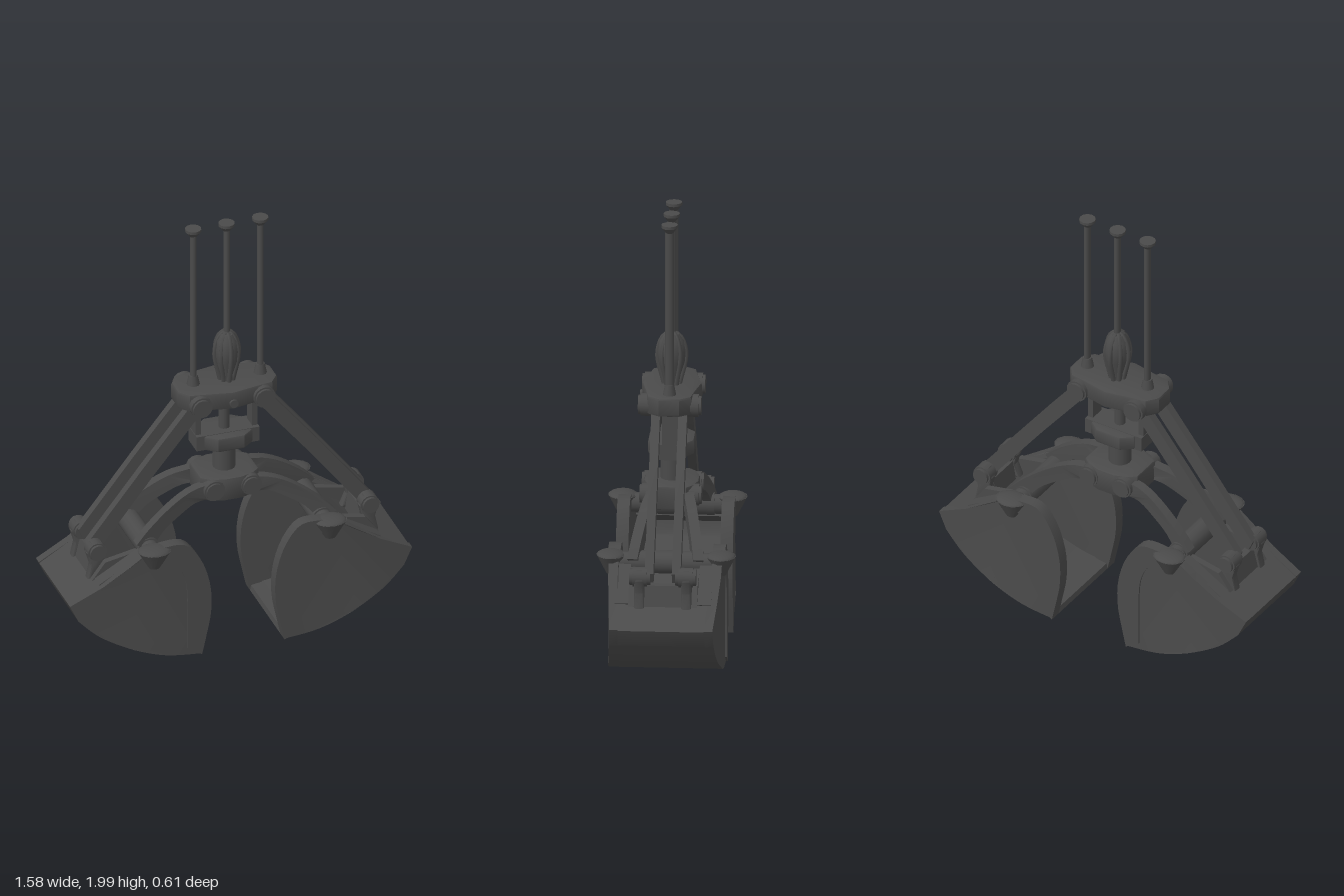
import * as THREE from 'three';
import { toCreasedNormals } from 'three/addons/utils/BufferGeometryUtils.js';

const steel = new THREE.MeshStandardMaterial({ color: 0x4a4a4a });
steel.name = 'dark steel';

function add(parent, name, geo, x = 0, y = 0, z = 0) {
  const m = new THREE.Mesh(geo, steel);
  m.name = name;
  m.position.set(x, y, z);
  parent.add(m);
  return m;
}

const vecs = pts => pts.map(p => new THREE.Vector2(p[0], p[1]));
const smooth = (pts, n = 20) => new THREE.SplineCurve(vecs(pts)).getPoints(n).map(p => [p.x, p.y]);

// XY outline extruded from z0 to z1; rule may move each vertex
function plateGeo(pts, z0, z1, rule, bevel = 0) {
  const g = new THREE.ExtrudeGeometry(new THREE.Shape(vecs(pts)), {
    depth: z1 - z0 - 2 * bevel, bevelEnabled: bevel > 0, bevelSize: bevel,
    bevelThickness: bevel, bevelOffset: -bevel, bevelSegments: 2,
  });
  g.translate(0, 0, z0 + bevel);
  if (rule) {
    const p = g.attributes.position;
    for (let i = 0; i < p.count; i++) p.setZ(i, rule(p.getX(i), p.getZ(i)));
  }
  return toCreasedNormals(g, 0.6);
}

// The same plate on the +z and -z side
function pair(parent, name, pts, z0, z1, rule, bevel) {
  add(parent, name, plateGeo(pts, z0, z1, rule, bevel));
  add(parent, name, plateGeo(pts, -z1, -z0, rule, bevel));
}

function pin(parent, name, r, x, y, z, length) {
  const g = new THREE.CylinderGeometry(r * 0.85, r * 0.85, length, 14);
  add(parent, name, g, x, y, z).rotation.x = Math.PI / 2;
  add(parent, name + 'Collar', new THREE.CylinderGeometry(r, r, length * 0.7, 14), x, y, z).rotation.x = Math.PI / 2;
}

// Horizontal slab from an XZ outline
function slab(parent, name, pts, y0, y1) {
  const g = plateGeo(pts, 0, y1 - y0, null, 0.01);
  g.rotateX(-Math.PI / 2);
  return add(parent, name, g, 0, y0, 0);
}

// One half of the grab, on the +x side
function makeHalf() {
  const half = new THREE.Group();
  half.name = 'grabHalf';
  const taper = (x, z) => z * (1 - 0.09 * Math.max(0, (x - 0.5) / 0.29));

  // Bucket outlines
  const outer = smooth([[0.19, 0.01], [0.35, 0.03], [0.5, 0.085], [0.65, 0.17], [0.75, 0.265]]);
  const inner = smooth([[0.72, 0.28], [0.63, 0.205], [0.49, 0.115], [0.34, 0.06], [0.195, 0.035]]);
  const mouth = smooth([[0.43, 0.565], [0.33, 0.58], [0.255, 0.565], [0.19, 0.475], [0.152, 0.35], [0.148, 0.22], [0.17, 0.1], [0.19, 0.01]]);
  const rim = smooth([[0.255, 0.05], [0.255, 0.25], [0.265, 0.39], [0.31, 0.48], [0.38, 0.52]]);

  add(half, 'bucketShell', plateGeo(
    [...outer, [0.785, 0.34], [0.63, 0.425], [0.61, 0.4], [0.735, 0.335], ...inner], -0.245, 0.245, taper));
  pair(half, 'bucketSide',
    [...outer.slice(1), [0.788, 0.345], [0.64, 0.42], [0.52, 0.5], ...mouth], 0.205, 0.247, taper);
  pair(half, 'bucketRim', [...mouth, ...rim], 0.2, 0.255);

  // Cross tube and flared pivot ears
  pin(half, 'crossTube', 0.05, 0.4, 0.53, 0, 0.46);
  for (const s of [-1, 1]) {
    const ear = new THREE.CylinderGeometry(0.075, 0.025, 0.085, 14);
    add(half, 'pivotEar', ear, 0.405, 0.522, s * 0.24).scale.z = 0.85;
    add(half, 'pivotCap', new THREE.SphereGeometry(0.073, 14, 6, 0, Math.PI * 2, 0, Math.PI / 2),
      0.405, 0.562, s * 0.24).scale.set(1, 0.25, 0.85);
  }

  // Stay lugs at the bucket's outer edge
  const lug = [[0.57, 0.42], [0.67, 0.4], [0.655, 0.47], [0.672, 0.53], [0.65, 0.575], [0.605, 0.575], [0.583, 0.53], [0.595, 0.48]];
  pair(half, 'stayLug', lug, 0.08, 0.125, null, 0.01);
  add(half, 'lugBridge', plateGeo([[0.585, 0.41], [0.66, 0.4], [0.635, 0.5], [0.6, 0.5]], -0.08, 0.08));
  pair(half, 'lugGusset', [[0.45, 0.52], [0.6, 0.49], [0.66, 0.41], [0.6, 0.42], [0.46, 0.49]], 0.12, 0.15);
  pair(half, 'topFlange', [[0.45, 0.535], [0.65, 0.42], [0.63, 0.4], [0.45, 0.505]], 0.15, 0.21);
  for (const s of [-1, 1]) pin(half, 'lowerStayPin', 0.043, 0.628, 0.538, s * 0.1, 0.09);

  // Long upper stays
  pair(half, 'stay', [[0.115, 1.17], [0.185, 1.15], [0.4, 0.885], [0.655, 0.56], [0.635, 0.515], [0.595, 0.53], [0.345, 0.85], [0.125, 1.12]], 0.04, 0.078);
  for (const s of [-1, 1]) pin(half, 'upperStayPin', 0.05, 0.145, 1.165, s * 0.1, 0.075);

  // Curved lower arms, splaying outward toward the bucket
  const arm = [
    ...smooth([[0.09, 0.765], [0.2, 0.745], [0.3, 0.695], [0.4, 0.62], [0.46, 0.56]], 12),
    ...smooth([[0.39, 0.51], [0.33, 0.59], [0.25, 0.645], [0.17, 0.685], [0.09, 0.69]], 12),
  ];
  pair(half, 'lowerArm', arm, 0.06, 0.105, (x, z) => z + Math.sign(z) * 0.2 * Math.max(0, x - 0.15));
  for (const s of [-1, 1]) pin(half, 'lowerArmPin', 0.048, 0.085, 0.735, s * 0.1, 0.07);

  // Hanger strap between head and crosspiece
  add(half, 'hangerStrap', new THREE.BoxGeometry(0.025, 0.24, 0.07), 0.13, 1.03, 0);
  return half;
}

export function createModel() {
  const model = new THREE.Group();
  model.name = 'clamshellGrab';

  // Two opposed halves
  for (const a of [0, Math.PI]) {
    const h = makeHalf();
    h.rotation.y = a;
    model.add(h);
  }

  // Head block
  slab(model, 'head', [[-0.228, -0.045], [-0.19, -0.095], [-0.1, -0.11], [0, -0.13], [0.1, -0.11], [0.19, -0.095], [0.228, -0.045],
    [0.228, 0.045], [0.19, 0.095], [0.1, 0.11], [0, 0.13], [-0.1, 0.11], [-0.19, 0.095], [-0.228, 0.045]], 1.135, 1.22);
  add(model, 'headBolt', new THREE.CylinderGeometry(0.02, 0.02, 0.02, 10), 0, 1.165, 0.128).rotation.x = Math.PI / 2;

  // Centre column, crosspiece and lower hub
  add(model, 'crosspiece', new THREE.BoxGeometry(0.29, 0.07, 0.11), 0, 0.945, 0);
  slab(model, 'crosspieceCollar', [[-0.11, -0.06], [-0.06, -0.1], [0.06, -0.1], [0.11, -0.06],
    [0.11, 0.06], [0.06, 0.1], [-0.06, 0.1], [-0.11, 0.06]], 0.91, 0.978);
  add(model, 'upperSpindle', new THREE.CylinderGeometry(0.024, 0.024, 0.17, 12), 0, 1.06, 0);
  add(model, 'spindleCollar', new THREE.CylinderGeometry(0.04, 0.028, 0.04, 12), 0, 1.11, 0);
  add(model, 'lowerColumn', new THREE.CylinderGeometry(0.05, 0.05, 0.17, 16), 0, 0.845, 0);
  slab(model, 'lowerHub', [[-0.135, -0.07], [-0.1, -0.1], [-0.04, -0.12], [0.04, -0.12], [0.1, -0.1], [0.135, -0.07],
    [0.135, 0.07], [0.1, 0.1], [0.04, 0.12], [-0.04, 0.12], [-0.1, 0.1], [-0.135, 0.07]], 0.675, 0.785);

  // Cable socket: a bulb with raised ribs
  const bulb = vecs([[0, 1.2], [0.03, 1.21], [0.032, 1.25], [0.052, 1.32], [0.056, 1.37], [0.048, 1.42], [0.03, 1.45], [0, 1.455]]);
  add(model, 'cableSocket', toCreasedNormals(new THREE.LatheGeometry(bulb, 12), 0.7), 0.012).scale.z = 1.15;
  const loop = new THREE.CatmullRomCurve3([[-0.03, 1.22], [-0.055, 1.36], [-0.03, 1.44], [0, 1.455], [0.03, 1.44], [0.055, 1.36], [0.03, 1.22]]
    .map(p => new THREE.Vector3(p[0], p[1], 0)));
  for (let i = 0; i < 4; i++) {
    const rib = add(model, 'socketRib', new THREE.TubeGeometry(loop, 24, 0.011, 6), 0.012);
    rib.rotation.y = i * Math.PI / 4;
    if (i === 2) rib.scale.x = 1.12;
  }

  // Three suspension rods with flared tops
  for (const x of [-0.142, 0.012, 0.167]) {
    add(model, 'rod', new THREE.CylinderGeometry(0.014, 0.014, 0.78, 10), x, 1.59, 0).scale.z = 1.4;
    add(model, 'rodTop', new THREE.CylinderGeometry(0.036, 0.016, 0.025, 12), x, 1.975, 0);
    add(model, 'rodCap', new THREE.CylinderGeometry(0.036, 0.036, 0.013, 12), x, 1.9935, 0);
    if (x !== 0.012) add(model, 'rodSocket', new THREE.CylinderGeometry(0.02, 0.03, 0.05, 10), x, 1.24, 0);
  }
  return model;
}
